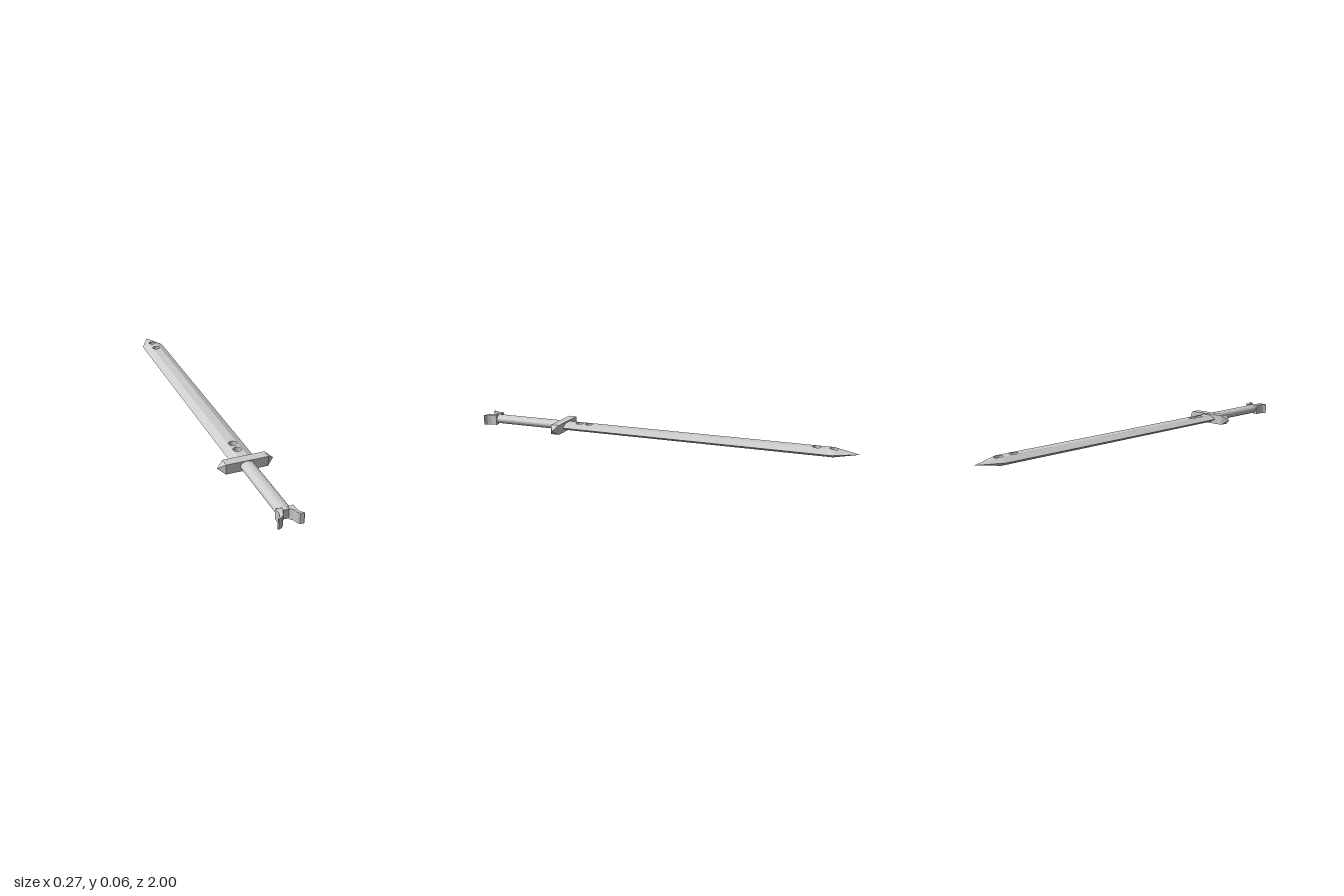
import * as THREE from 'three';

const MID = 0.026;               // height of the sword's centre plane
const W = 0.06, F = 0.022;       // blade half width, half width of its flat
const H = 0.019;                 // blade half thickness
const BASE = 0.52, TIP = -0.88;  // blade start and start of the point
const R = 0.02;                  // hole radius

const material = () => new THREE.MeshStandardMaterial({
  color: 0xcccccc, flatShading: true, side: THREE.DoubleSide });

function add(parent, name, geometry, mat = material()) {
  const mesh = new THREE.Mesh(geometry, mat);
  mesh.name = name;
  parent.add(mesh);
  return mesh;
}

// Half thickness of the blade at a point, tapering linearly into the tip
function bladeHeight(x, z) {
  const t = Math.min(1, (z + 1) / (TIP + 1));
  return Math.max(0, Math.min(H * t, H * (W * t - Math.abs(x)) / (W - F)));
}

// Lay a flat outline (x, -z) on the blade's upper surface
function bladePanel(shape) {
  const g = new THREE.ShapeGeometry(shape, 12).rotateX(-Math.PI / 2);
  const p = g.attributes.position;
  for (let i = 0; i < p.count; i++) p.setY(i, bladeHeight(p.getX(i), p.getZ(i)));
  g.computeVertexNormals();
  return g;
}

const outline = (pts) => new THREE.Shape(pts.map(([x, z]) => new THREE.Vector2(x, -z)));

function createBlade() {
  const blade = new THREE.Group();
  blade.name = 'blade';
  blade.position.y = MID;

  // Flat centre with round holes; the last hole straddles the start of the tip
  const arc = (from, to) => Array.from({ length: 13 }, (_, i) => {
    const a = from + (to - from) * i / 12;
    return [R * Math.cos(a), TIP + R * Math.sin(a)];
  });
  const centre = outline([[-F, BASE], [F, BASE], [F, TIP], ...arc(0, Math.PI), [-F, TIP]]);
  for (const z of [-0.80, 0.39, 0.445]) {
    centre.holes.push(new THREE.Path().absarc(0, -z, R, 0, Math.PI * 2, true));
  }
  const panels = [
    ['flat', centre],
    ['tipFlat', outline([[F, TIP], [0, -1], [-F, TIP], ...arc(-Math.PI, 0)])],
  ];
  // Sloping edges on both sides
  for (const s of [1, -1]) {
    panels.push(['edgeBevel', outline([[s * F, BASE], [s * W, BASE], [s * W, TIP], [s * F, TIP]])]);
    panels.push(['tipBevel', outline([[s * F, TIP], [s * W, TIP], [0, -1]])]);
  }
  for (const [name, shape] of panels) {
    const g = bladePanel(shape);
    add(blade, name + 'Upper', g);
    add(blade, name + 'Lower', g).rotation.z = Math.PI;
  }

  // Hole walls, trimmed to the blade surface
  for (const z of [TIP, -0.80, 0.39, 0.445]) {
    const g = new THREE.CylinderGeometry(R, R, 1, 24, 1, true).translate(0, 0, z);
    const p = g.attributes.position;
    for (let i = 0; i < p.count; i++) {
      p.setY(i, Math.sign(p.getY(i)) * bladeHeight(p.getX(i), p.getZ(i)));
    }
    add(blade, 'holeWall', g);
  }
  return blade;
}

function createGuard() {
  const guard = new THREE.Group();
  guard.name = 'guard';
  guard.position.set(0, MID, 0.538);
  add(guard, 'crossbar', new THREE.BoxGeometry(0.206, 0.05, 0.046));
  // Pyramid ends
  for (const s of [1, -1]) {
    const g = new THREE.ConeGeometry(Math.SQRT1_2, 0.034, 4)
      .rotateY(Math.PI / 4).scale(0.05, 1, 0.046)
      .rotateZ(-s * Math.PI / 2).translate(s * 0.12, 0, 0);
    add(guard, 'guardPoint', g);
  }
  return guard;
}

// One flared pommel prong; lift raises its inner ridge a little
function prong(side, lift) {
  const pts = [[0.013, 0.935], [0.036, 0.932], [0.04, 0.932], [0.04, 0.965], [0.046, 0.984],
    [0.06, 0.997], [0.056, 1], [0.04, 0.996], [0.03, 0.985], [0.026, 0.97], [0.013, 0.952]];
  const g = new THREE.ExtrudeGeometry(outline(pts.map(([x, z]) => [side * x, z])),
    { depth: 0.052, bevelEnabled: false }).rotateX(-Math.PI / 2);
  const p = g.attributes.position;
  for (let i = 0; i < p.count; i++) {
    const k = Math.max(0, 1 - Math.abs(Math.abs(p.getX(i)) - 0.026) / 0.013);
    p.setY(i, p.getY(i) + lift * k);
  }
  g.computeVertexNormals();
  return g;
}

export function createModel() {
  const sword = new THREE.Group();
  sword.name = 'sword';
  sword.add(createBlade(), createGuard());

  // Oval grip
  const gripMaterial = material();
  gripMaterial.flatShading = false;
  const grip = new THREE.CylinderGeometry(1, 1, 0.395, 32)
    .rotateX(Math.PI / 2).scale(0.033, 0.0235, 1);
  add(sword, 'grip', grip, gripMaterial).position.set(0, MID, 0.7525);

  // Forked pommel
  const pommel = new THREE.Group();
  pommel.name = 'pommel';
  add(pommel, 'leftProng', prong(1, 0.002));
  add(pommel, 'rightProng', prong(-1, 0.006));
  sword.add(pommel);
  return sword;
}
